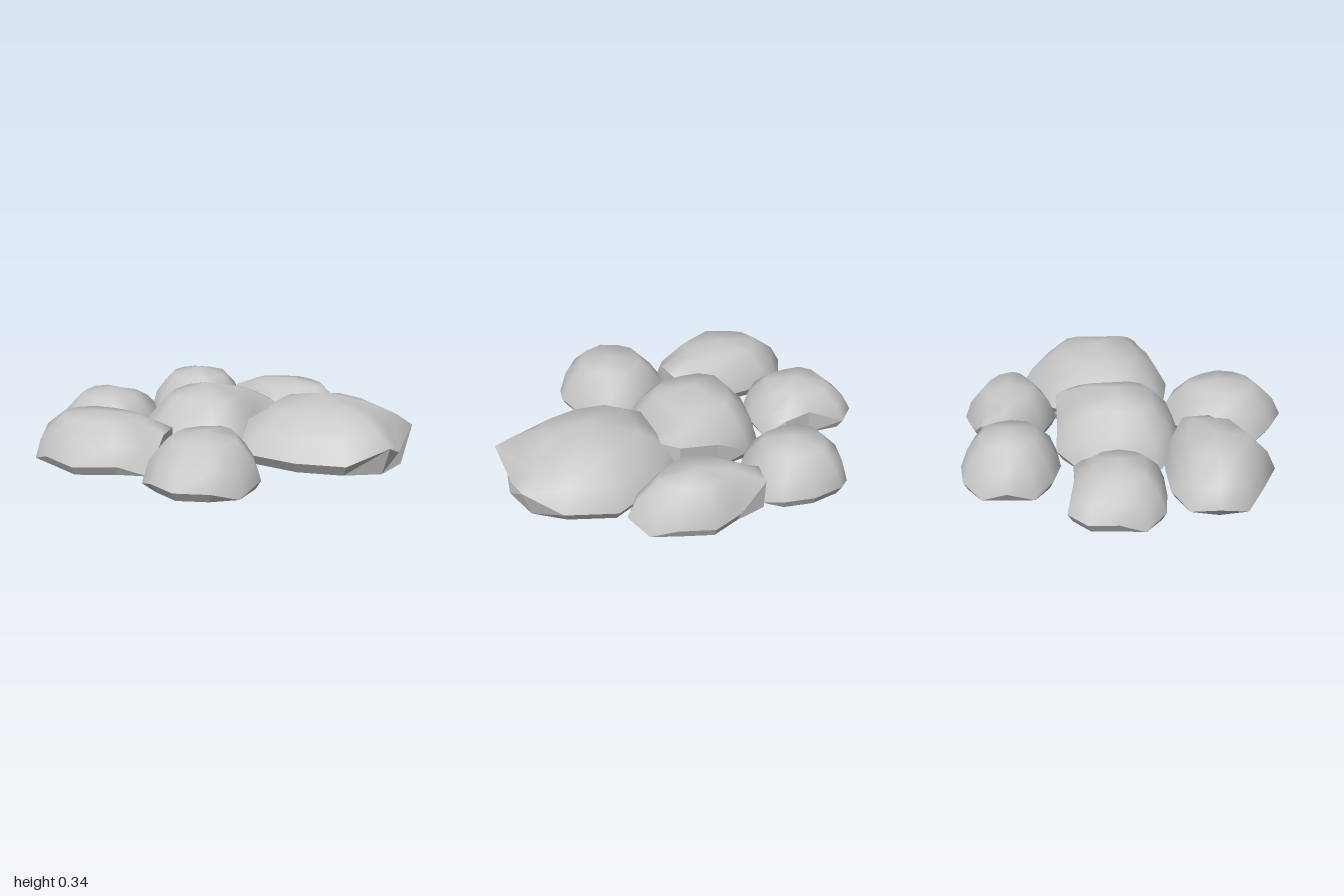
import * as THREE from 'three';
import { mergeVertices } from 'three/addons/utils/BufferGeometryUtils.js';

const stoneGrey = new THREE.MeshStandardMaterial({ color: 0xc6c6c6, side: THREE.DoubleSide });
stoneGrey.name = 'stone grey';

// Quads between two rings of equal length, listed clockwise from above
function band(out, lower, upper) {
  for (let i = 0; i < lower.length; i++) {
    const j = (i + 1) % lower.length;
    out.push(...lower[j], ...lower[i], ...upper[i], ...lower[j], ...upper[i], ...upper[j]);
  }
}

function toGeometry(positions, smooth) {
  let geometry = new THREE.BufferGeometry();
  geometry.setAttribute('position', new THREE.Float32BufferAttribute(positions, 3));
  if (smooth) geometry = mergeVertices(geometry, 1e-4);
  geometry.computeVertexNormals();
  return geometry;
}

// Open-bottomed stone with its peak at (cx, height, cz).
// Outline entries are [x, z, rim height, foot scale at the ground]
function stone(name, [cx, height, cz], shoulder, outline) {
  const ring = (scale, y) => outline.map(([x, z, rim, foot = rim ? 0.9 : 1]) => {
    const s = scale(rim, foot);
    return [cx + (x - cx) * s, y(rim), cz + (z - cz) * s];
  });
  const base = ring((r, foot) => foot, () => 0);
  const rim = ring(() => 1, r => r);
  const side = ring(r => 0.88 - r * 0.45, r => r + (shoulder - r) * 0.52);
  const upper = ring(() => 0.56, () => shoulder);

  // Smooth dome over the rim
  const dome = [];
  band(dome, rim, side);
  band(dome, side, upper);
  upper.forEach((p, i) => dome.push(...upper[(i + 1) % upper.length], ...p, cx, height, cz));

  // Faceted undercut below the rim
  const skirt = [];
  band(skirt, base, rim);

  const group = new THREE.Group();
  group.name = name;
  [['Dome', dome, true], ['Undercut', skirt, false]].forEach(([part, positions, smooth]) => {
    const mesh = new THREE.Mesh(toGeometry(positions, smooth), stoneGrey);
    mesh.name = name + part;
    group.add(mesh);
  });
  return group;
}

export function createModel() {
  const model = new THREE.Group();
  model.name = 'steppingStones';
  model.add(
    stone('backRightStone', [-0.42, 0.275, -0.59], 0.24, [
      [-0.71, -0.59, 0.05], [-0.68, -0.72, 0], [-0.59, -0.82, 0.05], [-0.42, -0.85, 0.05],
      [-0.25, -0.82, 0.05], [-0.18, -0.72, 0], [-0.14, -0.6, 0.05], [-0.17, -0.45, 0],
      [-0.25, -0.36, 0.05], [-0.42, -0.33, 0.05], [-0.58, -0.36, 0.05], [-0.68, -0.45, 0]]),
    stone('backLeftStone', [0.15, 0.26, -0.64], 0.235, [
      [-0.19, -0.65, 0.18, 0.98], [-0.18, -0.76, 0.16, 0.98], [-0.02, -0.82, 0.05], [0.15, -0.89, 0.05],
      [0.33, -0.83, 0.05], [0.45, -0.76, 0], [0.52, -0.63, 0.05], [0.48, -0.55, 0],
      [0.33, -0.45, 0.05], [0.15, -0.38, 0.05], [-0.03, -0.44, 0.05], [-0.13, -0.54, 0.1, 0.98]]),
    stone('largeLeftStone', [0.55, 0.335, -0.15], 0.27, [
      [0.55, -0.6, 0.06], [0.81, -0.51, 0.06], [0.98, -0.38, 0.15], [0.98, -0.15, 0.06, 1.03],
      [1, 0.08, 0.15], [0.81, 0.2, 0.06], [0.55, 0.26, 0.06], [0.27, 0.23, 0.06],
      [0.12, 0.08, 0.1, 0.98], [0.1, -0.15, 0.06], [0.12, -0.34, 0.1, 0.98], [0.28, -0.46, 0.06]]),
    stone('rightStone', [-0.71, 0.25, -0.03], 0.215, [
      [-1, -0.18, 0.05], [-0.9, -0.28, 0.05], [-0.7, -0.25, 0.14, 0.98], [-0.55, -0.26, 0.12, 0.98],
      [-0.46, -0.18, 0], [-0.42, -0.03, 0.05], [-0.46, 0.12, 0], [-0.54, 0.2, 0.05],
      [-0.72, 0.21, 0.05], [-0.89, 0.2, 0.05], [-0.98, 0.1, 0], [-1, -0.03, 0.05]]),
    stone('centreStone', [-0.09, 0.345, -0.04], 0.29, [
      [-0.43, -0.03, 0.06], [-0.4, -0.22, 0], [-0.28, -0.36, 0.06], [-0.1, -0.36, 0.15, 0.98],
      [0.13, -0.38, 0.2, 0.98], [0.21, -0.3, 0.2, 0.98], [0.23, -0.1, 0.1, 0.98], [0.25, 0.08, 0.06],
      [0.21, 0.2, 0.05], [0.1, 0.28, 0.06], [-0.1, 0.3, 0.06], [-0.28, 0.28, 0.06],
      [-0.41, 0.18, 0]]),
    stone('frontRightStone', [-0.47, 0.27, 0.47], 0.245, [
      [-0.87, 0.46, 0.05], [-0.8, 0.32, 0], [-0.68, 0.23, 0.05], [-0.45, 0.21, 0.05],
      [-0.25, 0.23, 0.08], [-0.12, 0.32, 0.18, 0.98], [-0.1, 0.46, 0.18, 0.98], [-0.11, 0.61, 0],
      [-0.25, 0.68, 0.05], [-0.46, 0.78, 0.05], [-0.68, 0.69, 0.05], [-0.8, 0.61, 0]]),
    stone('frontLeftStone', [0.18, 0.265, 0.54], 0.24, [
      [0.18, 0.21, 0.05], [0.3, 0.25, 0.05], [0.41, 0.38, 0], [0.49, 0.54, 0.05],
      [0.45, 0.71, 0], [0.35, 0.83, 0.05], [0.18, 0.89, 0.05], [0.02, 0.82, 0.05],
      [-0.09, 0.71, 0], [-0.1, 0.54, 0.1, 0.98], [-0.08, 0.42, 0.1, 0.98], [0.02, 0.3, 0.05]]));
  return model;
}
